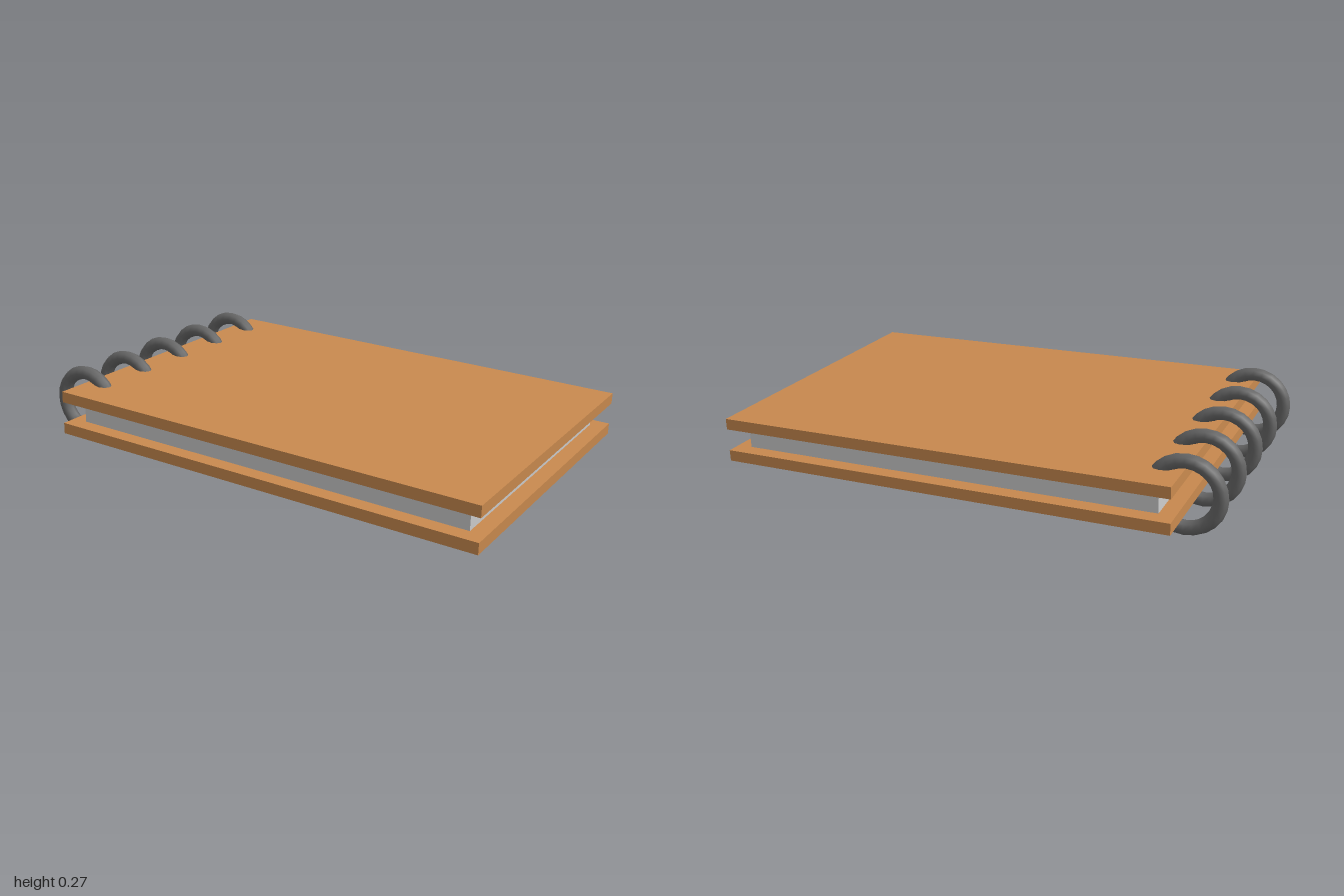
import * as THREE from 'three';

export function createModel() {
  const material = (name, color) => {
    const m = new THREE.MeshStandardMaterial({ color });
    m.name = name;
    return m;
  };
  const tan = material('tan cover', 0xc8894e);
  const paper = material('paper', 0xcccccc);
  const metal = material('grey metal', 0x666666);

  const model = new THREE.Group();
  model.name = 'ringNotebook';

  // Whole book is turned on the ground and tilted slightly down away from the rings
  const book = new THREE.Group();
  book.name = 'book';
  book.position.set(0.053, 0.115, -0.002);
  book.rotation.set(0, THREE.MathUtils.degToRad(15), THREE.MathUtils.degToRad(-1.75));
  model.add(book);

  const add = (name, geometry, mat, x, y, z) => {
    const mesh = new THREE.Mesh(geometry, mat);
    mesh.name = name;
    mesh.position.set(x, y, z);
    book.add(mesh);
  };

  // Covers and the page block between them
  const cover = new THREE.BoxGeometry(1.64, 0.04, 1.16);
  add('topCover', cover, tan, 0, 0.06, 0);
  add('bottomCover', cover, tan, 0, -0.06, 0);
  add('pages', new THREE.BoxGeometry(1.53, 0.08, 1.05), paper, 0, 0, 0);

  // Binding rings along the spine edge
  const ring = new THREE.TorusGeometry(0.1125, 0.025, 8, 24);
  for (let i = 0; i < 5; i++) {
    add('bindingRing' + (i + 1), ring, metal, -0.826, 0, (i - 2) * 0.2225);
  }

  return model;
}
